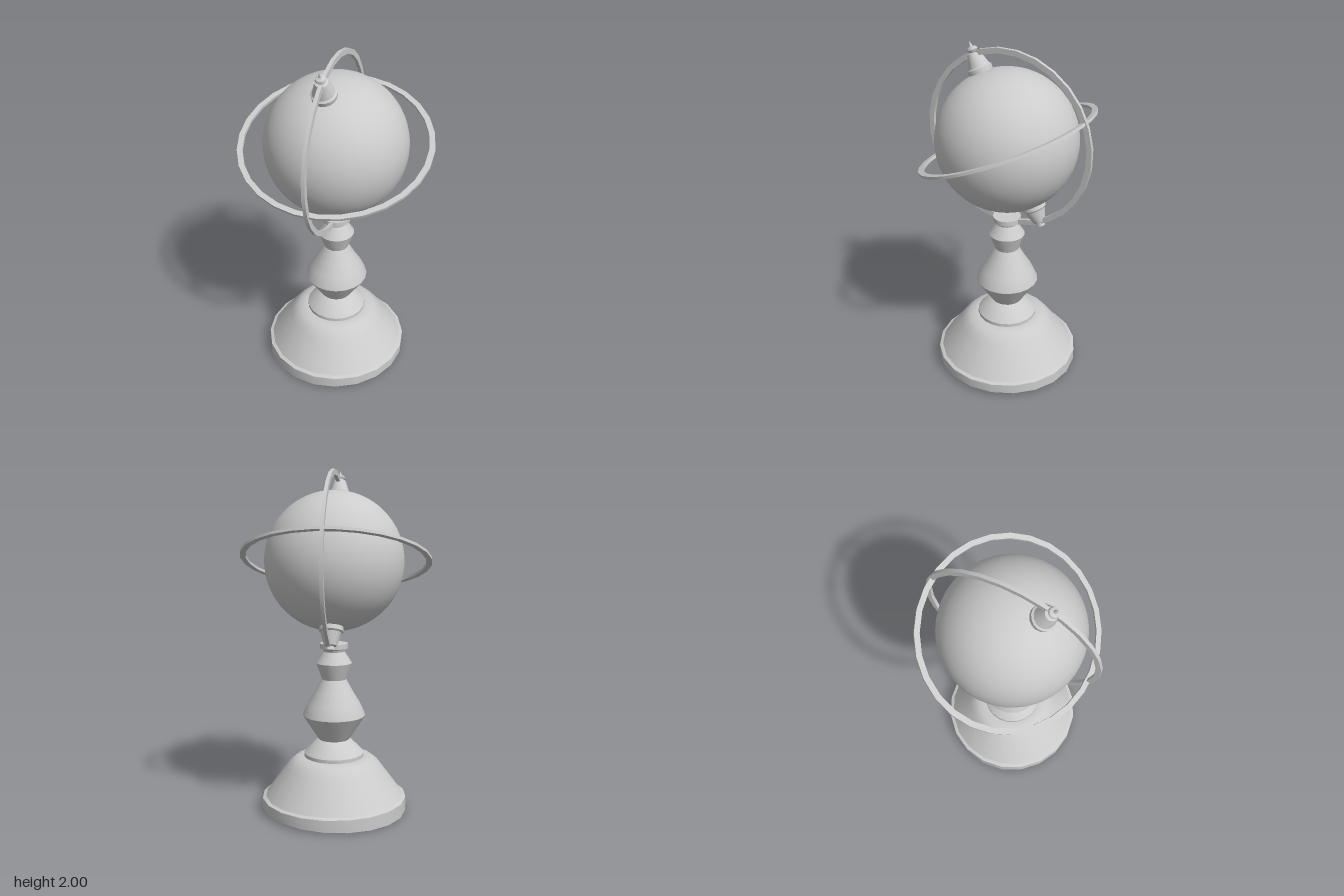
import * as THREE from 'three';
import { toCreasedNormals } from 'three/addons/utils/BufferGeometryUtils.js';

export function createModel() {
  const model = new THREE.Group();
  const material = new THREE.MeshStandardMaterial({ color: 0xcccccc });
  const centre = new THREE.Vector3(0.008, 1.48, 0);

  function add(parent, name, geometry) {
    const mesh = new THREE.Mesh(geometry, material);
    mesh.name = name;
    parent.add(mesh);
    return mesh;
  }

  // Turned part: radius / height pairs from bottom to top
  function turned(points, sides) {
    return new THREE.LatheGeometry(points.map(([r, y]) => new THREE.Vector2(r, y)), sides);
  }

  // Flat band round the y axis, with flats facing the x and z axes
  function band(outer, inner, halfHeight, sides) {
    const geometry = new THREE.LatheGeometry([
      [inner, -halfHeight], [outer, -halfHeight], [outer, halfHeight],
      [inner, halfHeight], [inner, -halfHeight],
    ].map(([r, y]) => new THREE.Vector2(r, y)), sides, Math.PI / sides);
    return toCreasedNormals(geometry, 0.5);
  }

  // Pedestal with stepped foot and baluster stem
  const stand = turned([
    [0, 0], [0.43, 0], [0.43, 0.082], [0.41, 0.09], [0.285, 0.26], [0.26, 0.292],
    [0.23, 0.315], [0.19, 0.325], [0.178, 0.325], [0.178, 0.345], [0.1, 0.425],
    [0.092, 0.428], [0.186, 0.574], [0.184, 0.582], [0.155, 0.645], [0.115, 0.71],
    [0.072, 0.79], [0.106, 0.887], [0.1, 0.896], [0.062, 0.955], [0.066, 0.968],
    [0.082, 0.974], [0.082, 1.003], [0, 1.003],
  ], 20);
  // The underside slopes very slightly across x
  const pos = stand.attributes.position;
  for (let i = 0; i < pos.count; i++) {
    if (pos.getY(i) < 0.001) pos.setY(i, 0.0125 + 0.029 * pos.getX(i));
  }
  add(model, 'stand', toCreasedNormals(stand, 0.5)).position.x = 0.01;

  // Globe
  add(model, 'globe', new THREE.SphereGeometry(0.403, 48, 32)).position.copy(centre);

  // Upright meridian ring
  const meridian = add(model, 'meridianRing', band(0.519, 0.488, 0.01, 28));
  meridian.rotation.z = Math.PI / 2;
  meridian.position.copy(centre);

  // Tilted, slightly oval equator ring
  const equator = add(model, 'equatorRing', band(0.552, 0.52, 0.008, 28));
  equator.scale.z = 0.925;
  equator.rotation.x = 0.383;
  equator.position.set(0, 1.485, 0);

  // Tilted axis with a spiked finial above and a blunt one below
  const axis = new THREE.Group();
  axis.name = 'axis';
  axis.position.set(0.002, 1.48, 0);
  axis.rotation.x = 0.432;
  model.add(axis);
  const cone = [[0, 0.385], [0.068, 0.385], [0.07, 0.422], [0.06, 0.43], [0.036, 0.505]];
  add(axis, 'topFinial', toCreasedNormals(turned([
    ...cone, [0.02, 0.51], [0.03, 0.525], [0.026, 0.536], [0.01, 0.544], [0, 0.574],
  ], 16), 0.5));
  add(axis, 'bottomFinial', toCreasedNormals(turned([
    ...cone, [0.022, 0.51], [0.024, 0.532], [0, 0.535],
  ], 16), 0.5)).rotation.x = Math.PI;

  return model;
}
